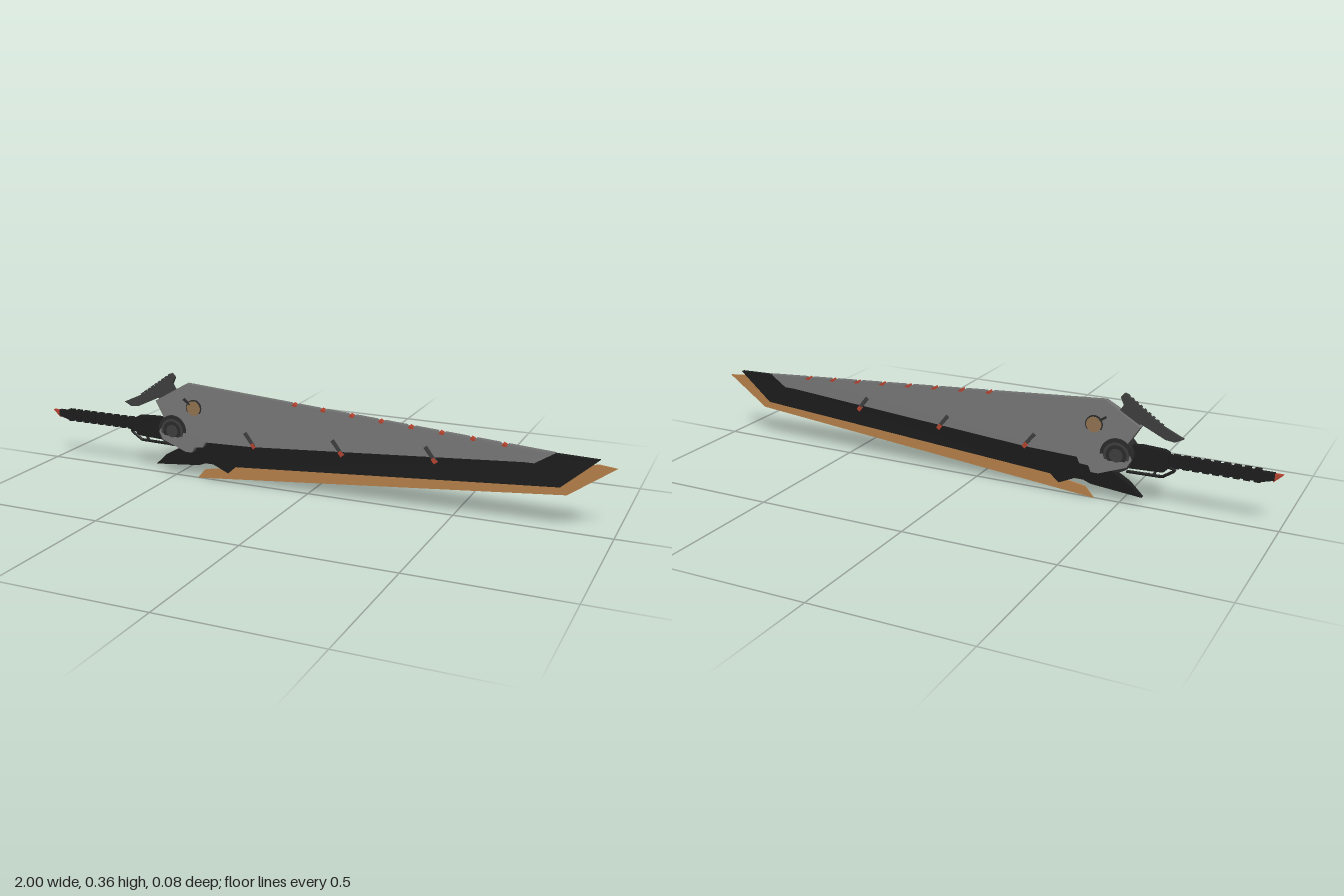
import * as THREE from 'three';

const mat = (name, color) => {
  const m = new THREE.MeshStandardMaterial({ color });
  m.name = name;
  return m;
};

export function createModel() {
  const grey = mat('steel grey', 0x717171);
  const black = mat('blade black', 0x1d1d1d);
  const dark = mat('dark metal', 0x3e3e3e);
  const charcoal = mat('charcoal', 0x2b2b2b);
  const gold = mat('edge gold', 0xb58049);
  const brass = mat('dull brass', 0x927350);
  const red = mat('signal red', 0xb4432f);
  const group = new THREE.Group();
  group.name = 'greatsword';

  const add = (name, geo, material, parent = group) => {
    const mesh = new THREE.Mesh(geo, material);
    mesh.name = name;
    parent.add(mesh);
    return mesh;
  };

  // Flat outline whose half thickness follows a rule of x and y
  const slab = (name, pts, half, material) => {
    const shape = new THREE.Shape(pts.map(p => new THREE.Vector2(p[0], p[1])));
    const geo = new THREE.ExtrudeGeometry(shape, { depth: 1, bevelEnabled: false });
    const p = geo.attributes.position;
    for (let i = 0; i < p.count; i++) {
      p.setZ(i, (p.getZ(i) > 0.5 ? 1 : -1) * half(p.getX(i), p.getY(i)));
    }
    geo.computeVertexNormals();
    return add(name, geo, material);
  };

  const box = (name, x, y, z, w, h, d, material, angle = 0) => {
    const m = add(name, new THREE.BoxGeometry(w, h, d), material);
    m.position.set(x, y, z);
    m.rotation.z = angle;
    return m;
  };

  const disc = (name, x, y, r, half, material, sides = 32) => {
    const m = add(name, new THREE.CylinderGeometry(r, r, half * 2, sides), material);
    m.rotation.x = Math.PI / 2;
    m.position.set(x, y, 0);
    return m;
  };

  // Golden cutting edge
  slab('cuttingEdge', [
    [-0.414, 0.002], [0.852, 0.12], [0.995, 0.222], [0.94, 0.228],
    [0.7, 0.17], [-0.25, 0.09], [-0.3, 0.05], [-0.385, 0.036],
  ], () => 0.0025, gold);

  // Black blade body, thinning toward edge and tip
  const edgeY = x => 0.061 + 0.074 * (x + 0.27);
  const bladeHalf = (x, y) =>
    Math.max(0.003, 0.007 + 0.09 * (y - edgeY(x)) - 0.007 * (x + 0.27));
  slab('bladeBody', [
    [-0.574, 0.034], [-0.405, 0.05], [-0.38, 0.06], [-0.35, 0.06],
    [-0.295, 0.034], [-0.265, 0.061], [0.83, 0.142], [0.943, 0.243],
    [0.81, 0.246], [0.74, 0.22], [-0.4, 0.17], [-0.48, 0.15],
    [-0.46, 0.115], [-0.53, 0.075],
  ], bladeHalf, black);

  // Grey armour plate with notched spine
  const spineY = x => 0.334 - 0.0685 * (x + 0.446);
  const plateHalf = (x, y) => 0.009 + 0.125 * Math.max(0, spineY(x) - y);
  const notches = Array.from({ length: 8 }, (_, i) => -0.05 + i * 0.1);
  const spine = notches.flatMap(x => [
    [x - 0.01, spineY(x - 0.01)], [x, spineY(x) - 0.009],
    [x + 0.012, spineY(x) - 0.009], [x + 0.016, spineY(x + 0.016)],
  ]);
  slab('armourPlate', [
    [-0.446, 0.334], ...spine, [0.81, 0.248], [0.75, 0.211], [0.72, 0.211],
    [-0.19, 0.148], [-0.365, 0.143], [-0.375, 0.124], [-0.405, 0.122],
    [-0.415, 0.102], [-0.44, 0.102], [-0.53, 0.135], [-0.545, 0.16],
    [-0.525, 0.205], [-0.563, 0.265],
  ], plateHalf, grey);
  notches.forEach((x, i) =>
    box('spineMarker' + i, x + 0.006, spineY(x) - 0.006, 0, 0.016, 0.009, 0.02, red, -0.5));

  // Slanted clasps with red ends on both faces
  [[-0.2, 0.172], [0.113, 0.184], [0.425, 0.2]].forEach(([x, y], i) => {
    for (const s of [1, -1]) {
      const z = s * (plateHalf(x, y) + 0.001);
      box('clasp' + i, x, y, z, 0.055, 0.012, 0.006, dark, -0.9);
      box('claspTip' + i, x + 0.014, y - 0.02, z, 0.018, 0.013, 0.008, red, -0.9);
    }
  });

  // Brass eyelet with pointer
  const eyeHalf = plateHalf(-0.414, 0.254);
  disc('eyeletRim', -0.414, 0.254, 0.029, eyeHalf + 0.002, charcoal);
  disc('eyelet', -0.414, 0.254, 0.025, eyeHalf + 0.004, brass);
  box('eyeletPointer', -0.44, 0.274, 0, 0.03, 0.007, eyeHalf * 2 + 0.008, charcoal, -0.6);

  // Stepped pivot hub
  disc('hubOuter', -0.494, 0.168, 0.054, 0.03, charcoal);
  disc('hubMiddle', -0.494, 0.168, 0.042, 0.032, dark);
  disc('hubGroove', -0.494, 0.168, 0.034, 0.0325, charcoal);
  disc('hubCore', -0.494, 0.168, 0.022, 0.0335, dark);

  // Rear fin with a serrated upper edge
  slab('rearFin', [
    [-0.697, 0.244], [-0.67, 0.23], [-0.64, 0.234], [-0.56, 0.272],
    [-0.53, 0.25], [-0.48, 0.29], [-0.503, 0.325], [-0.492, 0.35],
    [-0.505, 0.364], [-0.58, 0.308], [-0.63, 0.275],
  ], () => 0.005, dark);
  for (let i = 0; i < 9; i++) {
    const t = i / 8;
    box('finTooth' + i, -0.625 + 0.11 * t, 0.278 + 0.077 * t, 0, 0.009, 0.008, 0.009, dark, 0.63);
  }

  // Collar and ribbed grip
  slab('gripCollar', [
    [-0.655, 0.145], [-0.64, 0.13], [-0.53, 0.125], [-0.53, 0.2],
    [-0.565, 0.204], [-0.64, 0.2], [-0.655, 0.192],
  ], () => 0.011, black);
  slab('grip', [
    [-0.975, 0.162], [-0.94, 0.152], [-0.65, 0.15],
    [-0.65, 0.188], [-0.94, 0.184], [-0.975, 0.184],
  ], () => 0.007, black);
  for (let i = 0; i < 9; i++) {
    box('gripRib' + i, -0.925 + i * 0.031, 0.169, 0, 0.02, 0.042, 0.018, black);
  }
  slab('pommel', [
    [-1, 0.182], [-0.972, 0.156], [-0.965, 0.182],
  ], () => 0.006, red);

  // Trigger guard
  const guard = new THREE.CurvePath();
  const path = [[-0.645, 0.15], [-0.677, 0.14], [-0.635, 0.112], [-0.52, 0.11]]
    .map(([x, y]) => new THREE.Vector3(x, y, 0));
  for (let i = 0; i < 3; i++) guard.add(new THREE.LineCurve3(path[i], path[i + 1]));
  add('triggerGuard', new THREE.TubeGeometry(guard, 24, 0.005, 6), black);
  box('trigger', -0.612, 0.124, 0, 0.007, 0.026, 0.007, charcoal, 0.4);

  return group;
}
